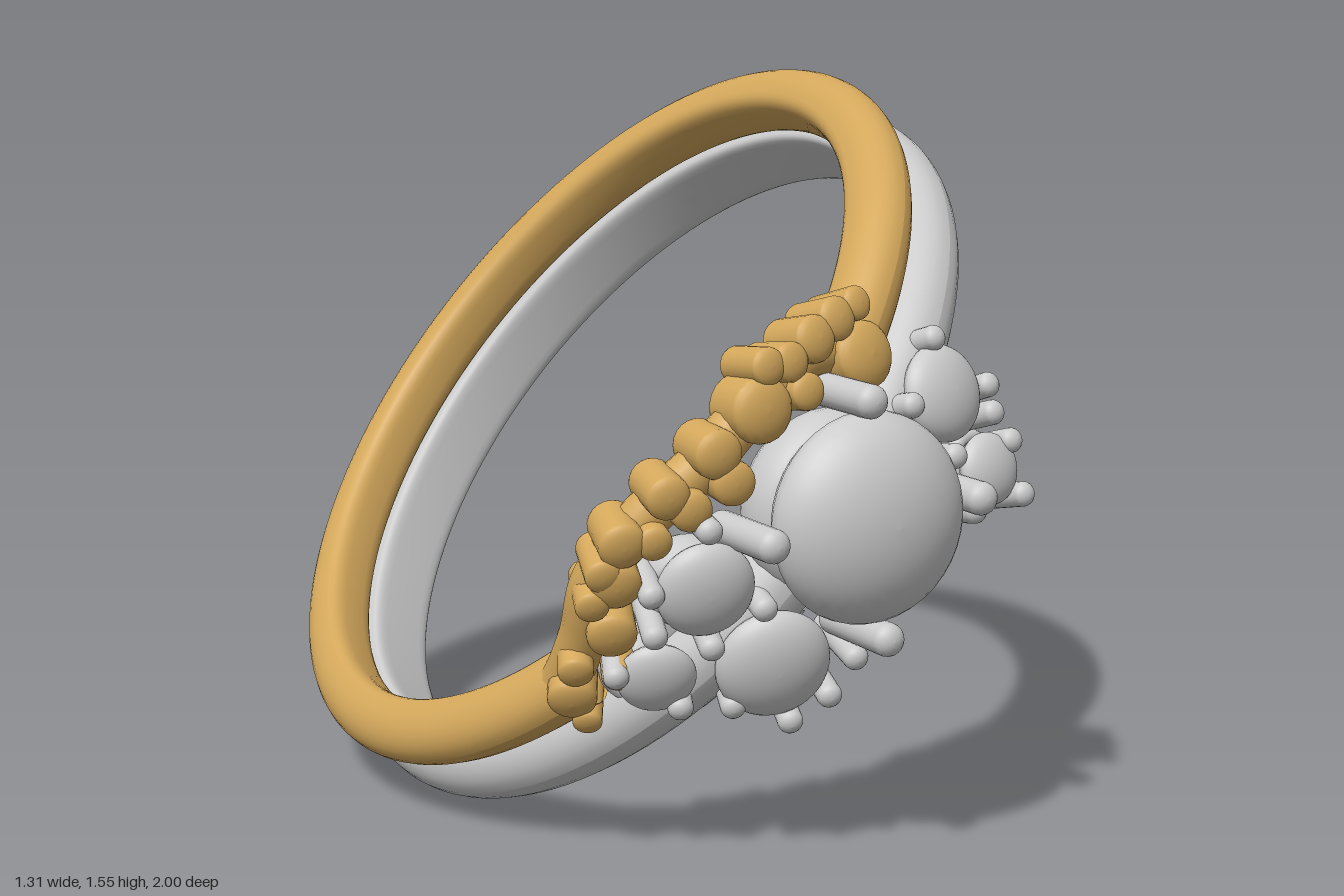
import * as THREE from 'three';

const TILT = 0.9; // lean of the ring pair in the x-y plane
const CX = 0.0525, CY = 0.74, CZ = -0.085; // ring centre
const silver = new THREE.MeshStandardMaterial({ color: 0xcccccc, side: THREE.DoubleSide });
const gold = new THREE.MeshStandardMaterial({ color: 0xd4a85c, side: THREE.DoubleSide });
const UP = new THREE.Vector3(0, 1, 0);

// Closed band section: round outside, flatter inside
function bandProfile(rc, inner, outer, w, y0, p) {
  const pts = [];
  for (let i = 0; i <= 28; i++) {
    const a = (i / 28) * Math.PI * 2, c = Math.cos(a), s = Math.sin(a);
    pts.push(c >= 0
      ? new THREE.Vector2(rc + outer * c, y0 + w * s)
      : new THREE.Vector2(rc - inner * Math.pow(-c, p), y0 + w * Math.sign(s) * Math.pow(Math.abs(s), p)));
  }
  return pts;
}

// Domed peg, top at y = 0, k flattens the domes
function pegGeometry(r, len, k) {
  const pts = [];
  for (let i = 0; i <= 6; i++) {
    const a = (i / 6) * Math.PI / 2;
    pts.push(new THREE.Vector2(r * Math.sin(a), -len + r * k * (1 - Math.cos(a))));
  }
  for (let i = 0; i <= 6; i++) {
    const a = (i / 6) * Math.PI / 2;
    pts.push(new THREE.Vector2(r * Math.cos(a), -r * k * (1 - Math.sin(a))));
  }
  return new THREE.LatheGeometry(pts, 20);
}

// Smooth stone: cone below, dome above, girdle at y = 0
function stoneGeometry(r, dome) {
  const pts = [[0, -0.65], [0.55, -0.4], [0.92, -0.15]].map(([x, y]) => new THREE.Vector2(x * r, y * r));
  for (let i = 0; i <= 12; i++) {
    const a = (i / 12) * Math.PI / 2;
    pts.push(new THREE.Vector2(r * Math.cos(a), dome * Math.sin(a)));
  }
  return new THREE.LatheGeometry(pts, 40);
}

// Point over front position (x, y) at a given distance from the ring axis
function onRing(x, y, r) {
  const dx = x - CX, dy = y - CY, c = Math.cos(TILT), n = Math.sin(TILT);
  const s = dx * c + dy * n;
  return new THREE.Vector3(s, -dx * n + dy * c, Math.sqrt(r * r - s * s));
}

export function createModel() {
  const model = new THREE.Group();
  model.name = 'ringPair';
  const ring = new THREE.Group();
  ring.name = 'rings';
  ring.position.set(CX, CY, CZ);
  ring.rotation.z = TILT;
  model.add(ring);

  const add = (name, geo, mat) => {
    const m = new THREE.Mesh(geo, mat);
    m.name = name;
    ring.add(m);
    return m;
  };
  // Stand a part on the ring, its y axis pointing outward
  const stand = (name, geo, mat, x, y, r) => {
    const m = add(name, geo, mat);
    m.position.copy(onRing(x, y, r));
    m.quaternion.setFromUnitVectors(UP, new THREE.Vector3(m.position.x, 0, m.position.z).normalize());
    return m;
  };
  const arc = (name, profile, mat, from, to, seg) =>
    add(name, new THREE.LatheGeometry(profile, seg, from, to - from), mat);

  // Bands, open at the front where the settings sit
  const full = Math.PI * 2;
  arc('silverBand', bandProfile(0.82, 0.04, 0.09, 0.085, 0, 0.35), silver, 0.2, full - 0.2, 120);
  arc('goldBand', bandProfile(0.84, 0.055, 0.075, 0.066, 0.15, 0.6), gold, 0.3, full - 0.7, 120);

  // Curved front of the gold band
  const path = [[0.17, 1.13], [0.1, 1.06], [-0.03, 1.04], [-0.14, 0.96], [-0.24, 0.86], [-0.36, 0.75],
    [-0.43, 0.63], [-0.43, 0.5], [-0.44, 0.38], [-0.47, 0.31]].map(([x, y]) => onRing(x, y, 0.85));
  add('goldContour', new THREE.TubeGeometry(new THREE.CatmullRomCurve3(path), 80, 0.05, 14), gold);

  // Gold beads along the curve: x, y, radius
  const beads = [[0.11, 1.05, 0.07], [-0.15, 0.96, 0.067], [-0.25, 0.88, 0.05], [-0.42, 0.51, 0.05],
    [-0.46, 0.36, 0.05], [-0.35, 0.8, 0.045], [-0.43, 0.705, 0.048], [0.095, 1.15, 0.035], [0.04, 1.125, 0.045],
    [-0.02, 1.09, 0.048], [-0.14, 1.045, 0.038], [-0.085, 1.05, 0.04], [-0.05, 0.99, 0.038], [-0.3, 0.77, 0.042],
    [-0.215, 0.82, 0.045], [-0.37, 0.71, 0.036], [-0.46, 0.645, 0.036], [-0.47, 0.58, 0.034],
    [-0.43, 0.62, 0.05], [-0.47, 0.43, 0.036], [-0.42, 0.31, 0.03], [-0.39, 0.42, 0.035]];
  for (const [x, y, r] of beads) stand('goldBead', pegGeometry(r, 0.14, 0.45), gold, x, y, 0.935);

  // Gallery plates joining the side stones to the silver band
  arc('upperGallery', bandProfile(0.81, 0.025, 0.025, 0.12, -0.08, 0.4), silver, 0.24, 0.46, 12);
  arc('lowerGallery', bandProfile(0.81, 0.025, 0.025, 0.13, 0.015, 0.4), silver, -0.6, -0.24, 16);

  // Centre stone with its basket and four prongs
  stand('centreStone', stoneGeometry(0.212, 0.125), silver, CX, CY, 0.96);
  const basket = stand('centreBasket', new THREE.TorusGeometry(0.15, 0.05, 16, 48).rotateX(Math.PI / 2), silver, CX, CY, 0.845);
  basket.scale.y = 1.5;
  for (let i = 0; i < 4; i++) {
    const a = 0.1 + i * Math.PI / 2, c = Math.cos(a - TILT), s = Math.sin(a - TILT);
    const prong = add('centreProng', pegGeometry(0.034, 0.25, 0.8), silver);
    prong.position.set(0.238 * c, 0.238 * s, 1.037);
    prong.rotation.x = Math.PI / 2;
  }

  // Side stones in open cups: x, y, radius
  const stones = [[0.295, 0.95, 0.1], [0.4, 0.79, 0.075], [-0.25, 0.61, 0.1], [-0.31, 0.42, 0.08], [-0.09, 0.44, 0.118]];
  for (const [x, y, r] of stones) {
    stand('sideStone', stoneGeometry(r, 0.5 * r), silver, x, y, 0.91);
    const cup = stand('sideCup', new THREE.TorusGeometry(0.7 * r, 0.25 * r, 12, 28).rotateX(Math.PI / 2), silver, x, y, 0.835);
    cup.scale.y = 1.8;
  }

  // Prongs of the side stones
  const prongs = [[0.285, 1.07], [0.2, 0.945], [0.42, 0.965], [0.42, 0.91], [0.3, 0.835], [0.46, 0.85], [0.475, 0.74],
    [0.34, 0.72], [-0.27, 0.73], [-0.37, 0.6], [-0.14, 0.56], [-0.35, 0.51], [-0.405, 0.42], [-0.27, 0.345],
    [-0.235, 0.48], [-0.17, 0.345], [-0.05, 0.305], [0.02, 0.36], [0.065, 0.44]];
  for (const [x, y] of prongs) stand('sideProng', pegGeometry(0.026, 0.2, 0.8), silver, x, y, 0.955);

  return model;
}
